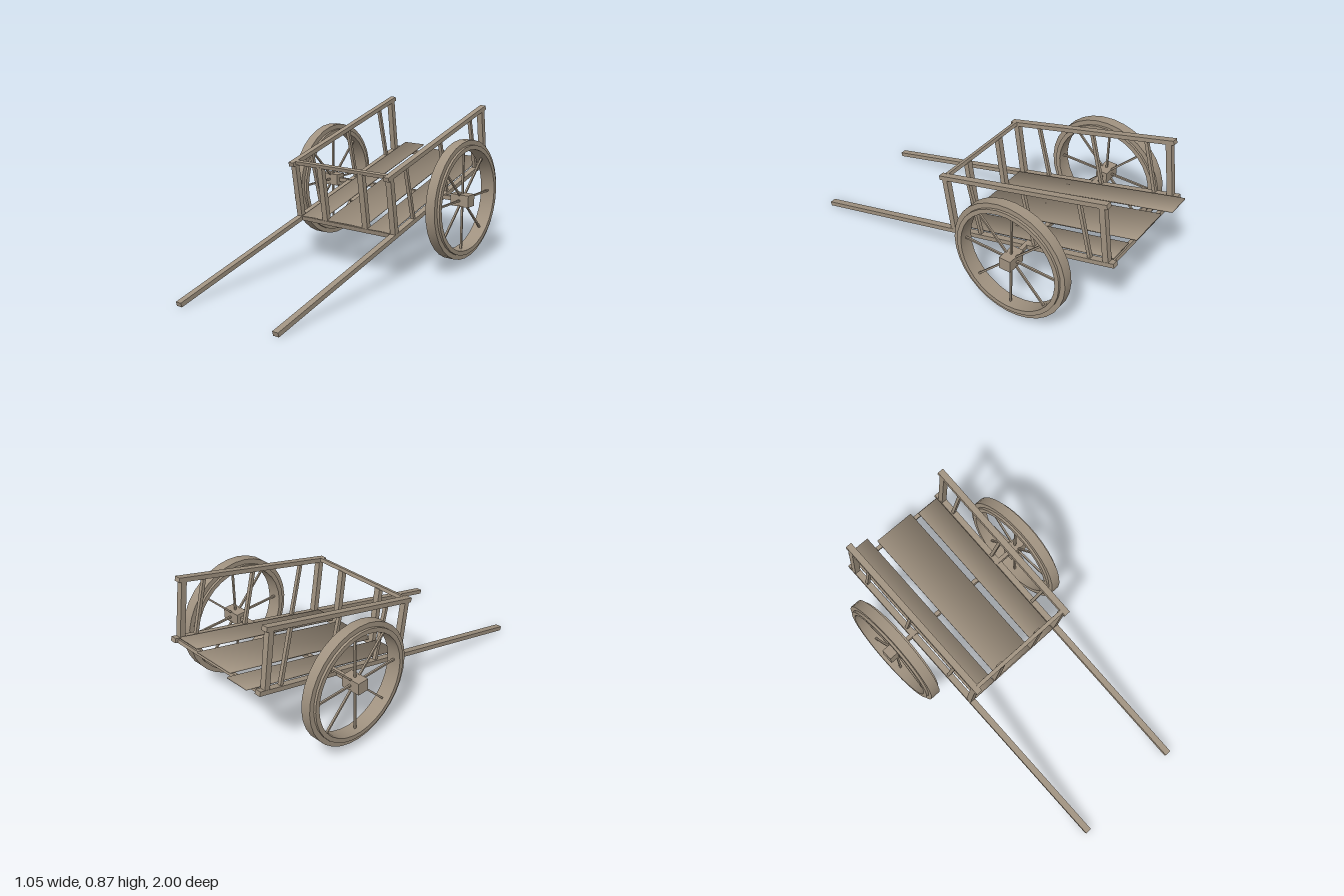
import * as THREE from 'three';
import { toCreasedNormals } from 'three/addons/utils/BufferGeometryUtils.js';

const TILT = 0.2606;   // slope of the cart bed
const AXLE_Y = 0.402;
const AXLE_Z = -0.44;

export function createModel() {
  const wood = new THREE.MeshStandardMaterial({ color: 0xa09280 });
  wood.name = 'weathered wood';

  const add = (parent, name, geometry) => {
    const mesh = new THREE.Mesh(geometry, wood);
    mesh.name = name;
    parent.add(mesh);
    return mesh;
  };
  const box = (parent, name, w, h, d, x, y, z) => {
    const mesh = add(parent, name, new THREE.BoxGeometry(w, h, d));
    mesh.position.set(x, y, z);
    return mesh;
  };
  // Upright beam leaning in the yz plane, from (y0, z0) to (y1, z1)
  const upright = (parent, name, w, d, x, y0, z0, y1, z1) => {
    const mesh = box(parent, name, w, Math.hypot(y1 - y0, z1 - z0), d, x, (y0 + y1) / 2, (z0 + z1) / 2);
    mesh.rotation.x = Math.atan2(z1 - z0, y1 - y0);
  };

  const model = new THREE.Group();
  model.name = 'handcart';
  const cart = new THREE.Group();
  cart.name = 'cart';
  cart.position.x = -0.003;
  model.add(cart);

  // Tilted frame, with its origin above the axle
  const frame = new THREE.Group();
  frame.name = 'frame';
  frame.position.set(0, 0.4, AXLE_Z);
  frame.rotation.x = TILT;
  cart.add(frame);

  for (const side of [1, -1]) {
    const label = side > 0 ? 'left' : 'right';
    const x = side * 0.3275;
    box(frame, label + 'Shaft', 0.036, 0.025, 2.022, x, 0, 0.478);
    box(frame, label + 'TopRail', 0.036, 0.025, 1.046, x, 0.333, -0.034);
    upright(frame, label + 'FrontPost', 0.034, 0.032, x, 0, 0.488, 0.33, 0.456);
    upright(frame, label + 'RearPost', 0.034, 0.032, x, 0, -0.486, 0.33, -0.525);
    for (const z of [0.302, -0.054, -0.389]) {
      upright(frame, label + 'Slat', 0.02, 0.018, x, 0, z, 0.33, z);
    }
  }

  // Front gate and cross members
  box(frame, 'frontTopRail', 0.63, 0.021, 0.022, 0, 0.336, 0.458);
  box(frame, 'frontCrossbar', 0.63, 0.026, 0.026, 0, 0, 0.491);
  box(frame, 'rearCrossbar', 0.63, 0.02, 0.022, 0, -0.004, -0.505);
  for (const x of [-0.139, 0.141]) {
    upright(frame, 'frontUpright', 0.035, 0.03, x, 0.01, 0.488, 0.33, 0.456);
  }

  // Floor planks, with normals blended across every corner
  for (const [x0, x1, zBack, zFront] of [
    [-0.302, -0.162, -0.583, 0.502],
    [-0.127, 0.125, -0.537, 0.498],
    [0.163, 0.304, -0.512, 0.502],
  ]) {
    const plank = box(frame, 'floorPlank', x1 - x0, 0.008, zFront - zBack, (x0 + x1) / 2, 0.016, (zBack + zFront) / 2);
    const { position, normal } = plank.geometry.attributes;
    const n = new THREE.Vector3();
    for (let i = 0; i < position.count; i++) {
      n.set(Math.sign(position.getX(i)), Math.sign(position.getY(i)), Math.sign(position.getZ(i))).normalize();
      normal.setXYZ(i, n.x, n.y, n.z);
    }
  }

  // Axle
  box(cart, 'axle', 1.0, 0.024, 0.024, 0, AXLE_Y, AXLE_Z);

  // Stepped wheel rim with a narrower outer tyre band
  const profile = [
    [0.29, -0.043], [0.315, -0.043], [0.315, -0.029], [0.342, -0.029], [0.342, 0.029],
    [0.315, 0.029], [0.315, 0.043], [0.29, 0.043], [0.29, -0.043],
  ].map(([r, y]) => new THREE.Vector2(r, y));
  const rimGeometry = toCreasedNormals(new THREE.LatheGeometry(profile, 32), 0.6);
  rimGeometry.rotateZ(Math.PI / 2);

  for (const side of [1, -1]) {
    const wheel = new THREE.Group();
    wheel.name = side > 0 ? 'leftWheel' : 'rightWheel';
    wheel.position.set(side * 0.466, AXLE_Y, AXLE_Z);
    cart.add(wheel);
    add(wheel, 'rim', rimGeometry);
    box(wheel, 'hub', 0.115, 0.068, 0.068, 0, 0, 0);
    for (let i = 0; i < 8; i++) {
      const a = (i * Math.PI) / 4;
      const spoke = box(wheel, 'spoke', 0.011, 0.28, 0.01, 0, Math.cos(a) * 0.16, Math.sin(a) * 0.16);
      spoke.rotation.x = a;
    }
  }
  return model;
}
